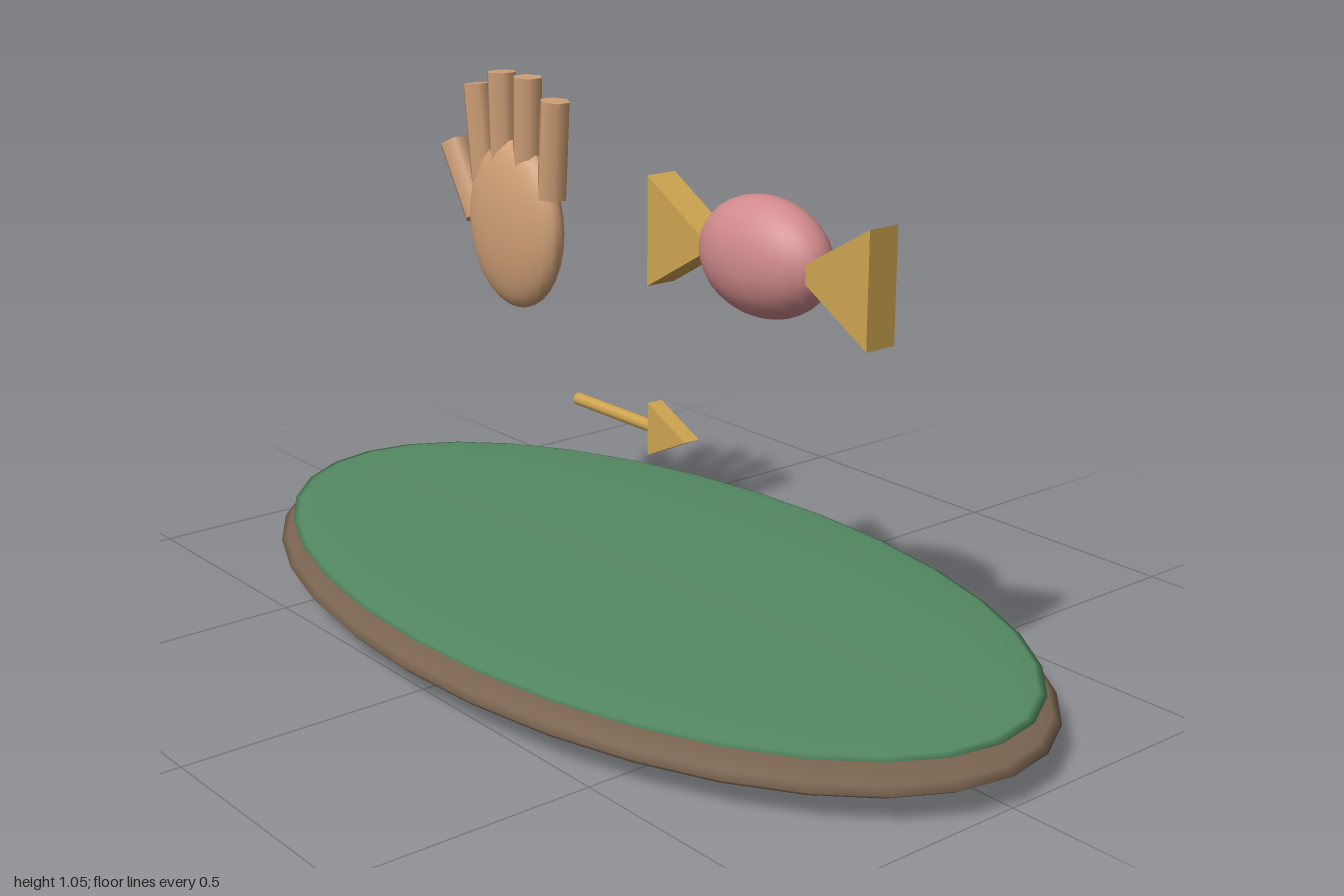
import * as THREE from 'three';

const mat = (color, flatShading = false) => new THREE.MeshStandardMaterial({ color, flatShading });

export function createModel() {
  const model = new THREE.Group();
  const wood = mat(0x7a6450), felt = mat(0x548a62), skin = mat(0xcf9f76);
  const pink = mat(0xd08a8c), gold = mat(0xcfa550, true), goldSmooth = mat(0xcfa550);

  const add = (parent, name, geometry, material) => {
    const mesh = new THREE.Mesh(geometry, material);
    mesh.name = name;
    parent.add(mesh);
    return mesh;
  };
  const group = (name) => {
    const g = new THREE.Group();
    g.name = name;
    model.add(g);
    return g;
  };
  const ellipsoid = (parent, name, material, radii, center, w, h) => {
    const geo = new THREE.SphereGeometry(1, w, h).scale(...radii);
    return add(parent, name, geo, material).position.set(...center);
  };
  // Cylinder running between two points in the z = 0 plane
  const rod = (parent, name, material, from, to, r, sides) => {
    const a = new THREE.Vector3(...from, 0), b = new THREE.Vector3(...to, 0);
    const dir = b.clone().sub(a);
    const mesh = add(parent, name, new THREE.CylinderGeometry(r, r, dir.length(), sides), material);
    mesh.position.copy(a).add(b).multiplyScalar(0.5);
    mesh.quaternion.setFromUnitVectors(new THREE.Vector3(0, 1, 0), dir.normalize());
  };
  // Triangular prism: upright base at baseX, apex at tipX
  const wedge = (parent, name, baseX, tipX, y, half, depth) => {
    const shape = new THREE.Shape([
      new THREE.Vector2(baseX, y - half),
      new THREE.Vector2(tipX, y),
      new THREE.Vector2(baseX, y + half),
    ]);
    const geo = new THREE.ExtrudeGeometry(shape, { depth, bevelEnabled: false });
    add(parent, name, geo.translate(0, 0, -depth / 2), gold);
  };

  // Oval board with a raised felt top
  const board = group('board');
  ellipsoid(board, 'boardBase', wood, [1, 0.058, 0.545], [0, 0.058, 0], 32, 16);
  ellipsoid(board, 'boardTop', felt, [0.97, 0.017, 0.52], [0, 0.105, 0], 32, 16);

  // Open hand: palm, thumb and four fingers
  const hand = group('hand');
  ellipsoid(hand, 'palm', skin, [0.146, 0.172, 0.052], [-0.374, 0.747, 0], 24, 16);
  [
    ['thumb', [-0.504, 0.742], [-0.591, 0.885]],
    ['indexFinger', [-0.479, 0.82], [-0.503, 1.018]],
    ['middleFinger', [-0.411, 0.835], [-0.417, 1.052]],
    ['ringFinger', [-0.334, 0.835], [-0.329, 1.052]],
    ['littleFinger', [-0.254, 0.82], [-0.24, 1.016]],
  ].forEach(([name, from, to]) => rod(hand, name, skin, from, to, 0.031, 6));

  // Wrapped sweet with a flared twist at each end
  const sweet = group('sweet');
  ellipsoid(sweet, 'sweetBody', pink, [0.153, 0.11, 0.083], [0.372, 0.82, 0], 24, 16);
  for (const s of [-1, 1]) {
    wedge(sweet, s < 0 ? 'rightTwist' : 'leftTwist', 0.372 + s * 0.288, 0.372 + s * 0.107, 0.819, 0.105, 0.066);
  }

  // Arrow pointing toward the sweet's side
  const arrow = group('arrow');
  rod(arrow, 'arrowShaft', goldSmooth, [-0.172, 0.426], [0.08, 0.426], 0.013, 8);
  wedge(arrow, 'arrowHead', 0.067, 0.177, 0.426, 0.052, 0.034);

  return model;
}
